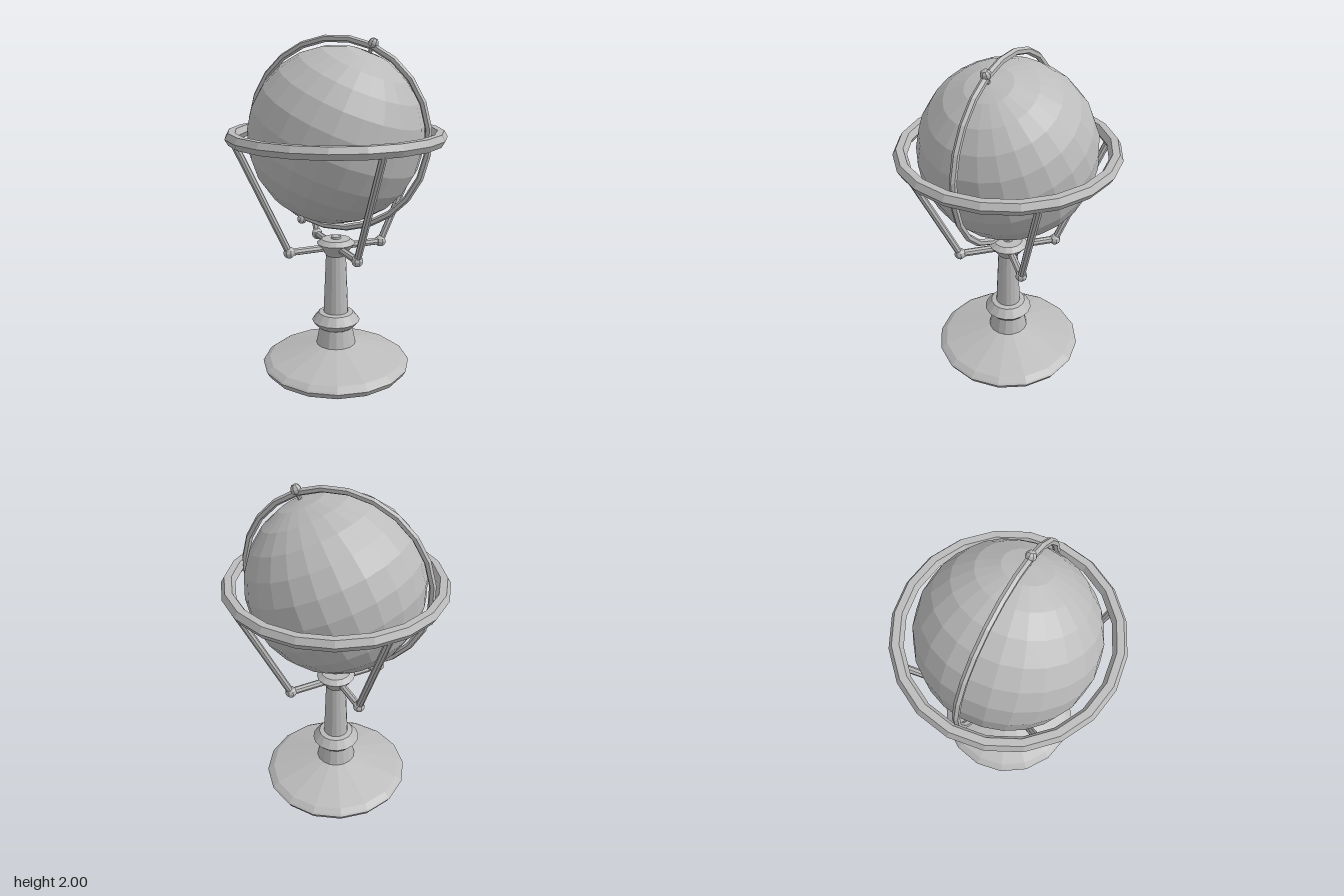
import * as THREE from 'three';

export function createModel() {
  const model = new THREE.Group();
  model.name = 'globeOnStand';
  const metal = new THREE.MeshStandardMaterial({ color: 0xbbbbbb });
  metal.name = 'plain grey';
  metal.flatShading = true;

  const add = (parent, name, geometry, x = 0, y = 0, z = 0) => {
    const mesh = new THREE.Mesh(geometry, metal);
    mesh.name = name;
    mesh.position.set(x, y, z);
    parent.add(mesh);
    return mesh;
  };

  // Straight rod between two points
  const rod = (parent, name, a, b, radius) => {
    const dir = b.clone().sub(a);
    const mesh = add(parent, name, new THREE.CylinderGeometry(radius, radius, dir.length(), 8));
    mesh.position.copy(a).add(b).multiplyScalar(0.5);
    mesh.quaternion.setFromUnitVectors(new THREE.Vector3(0, 1, 0), dir.normalize());
    return mesh;
  };

  const centreY = 1.437;

  // Turned pedestal: foot, knop, column and collar
  const profile = [
    [0, 0], [0.43, 0], [0.45, 0.035], [0.44, 0.045], [0.41, 0.067],
    [0.12, 0.155], [0.1, 0.26], [0.115, 0.27], [0.145, 0.305], [0.105, 0.355],
    [0.075, 0.36], [0.06, 0.72], [0.07, 0.735], [0.115, 0.795], [0.085, 0.82],
    [0.03, 0.822], [0.03, 0.835], [0, 0.835],
  ].map(([r, y]) => new THREE.Vector2(r, y));
  add(model, 'pedestal', new THREE.LatheGeometry(profile, 16));

  // Four arms that carry the horizon ring
  for (const sx of [-1, 1]) {
    for (const sz of [-1, 1]) {
      const arm = new THREE.Group();
      arm.name = 'supportArm';
      const hub = new THREE.Vector3(sx * 0.03, 0.77, sz * 0.03);
      const elbow = new THREE.Vector3(sx * 0.21, 0.77, sz * 0.21);
      const top = new THREE.Vector3(sx * 0.422, 1.415, sz * 0.422);
      rod(arm, 'lowerBar', hub, elbow, 0.022);
      rod(arm, 'upright', elbow, top, 0.021);
      add(arm, 'elbowBead', new THREE.SphereGeometry(0.035, 8, 6), elbow.x, elbow.y, elbow.z);
      model.add(arm);
    }
  }

  // Horizontal ring
  const horizon = add(model, 'horizonRing', new THREE.TorusGeometry(0.597, 0.04, 6, 20), 0, centreY, 0);
  horizon.rotation.x = Math.PI / 2;

  // Tilted globe with its meridian ring and pivots
  const globe = new THREE.Group();
  globe.name = 'tiltedGlobe';
  globe.position.y = centreY;
  globe.rotation.z = -THREE.MathUtils.degToRad(23);
  model.add(globe);
  add(globe, 'sphere', new THREE.SphereGeometry(0.508, 24, 12));
  add(globe, 'meridianRing', new THREE.TorusGeometry(0.545, 0.02, 6, 24));
  for (const s of [-1, 1]) {
    add(globe, 'pivotBead', new THREE.SphereGeometry(0.03, 8, 6), 0, s * 0.562, 0);
    add(globe, 'pivotPin', new THREE.CylinderGeometry(0.012, 0.012, 0.08, 8), 0, s * 0.525, 0);
  }

  return model;
}
